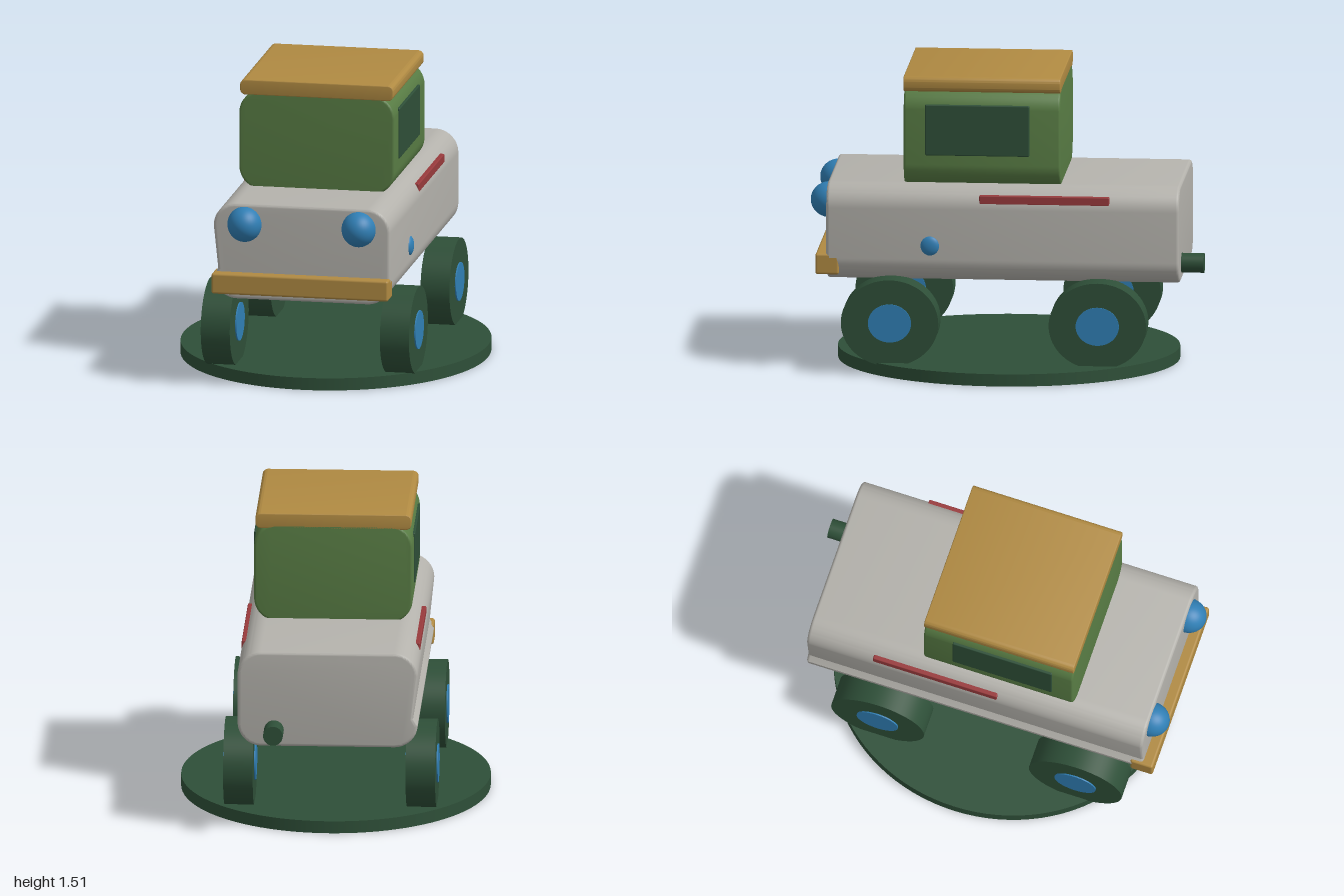
import * as THREE from 'three';
import { toCreasedNormals } from 'three/addons/utils/BufferGeometryUtils.js';
import { RoundedBoxGeometry } from 'three/addons/geometries/RoundedBoxGeometry.js';

const paint = (name, color) => {
  const m = new THREE.MeshStandardMaterial({ color });
  m.name = name;
  return m;
};

// Rounded rectangle in x/y; 'dent' adds a crease low on the -x side
function panelShape(w, y0, y1, r, dent = false) {
  const s = new THREE.Shape();
  s.moveTo(-w + r, y0);
  s.lineTo(w - r, y0);
  s.absarc(w - r, y0 + r, r, -Math.PI / 2, 0);
  s.lineTo(w, y1 - r);
  s.absarc(w - r, y1 - r, r, 0, Math.PI / 2);
  s.lineTo(-w + r, y1);
  s.absarc(-w + r, y1 - r, r, Math.PI / 2, Math.PI);
  if (dent) s.lineTo(-w + 0.023, y0 + 0.155);
  s.lineTo(-w, y0 + r);
  s.absarc(-w + r, y0 + r, r, Math.PI, Math.PI * 1.5);
  return s;
}

// Extrudes a shape between two z positions, keeping its outer size with a small bevel
function extrudeZ(shape, z0, z1, bevel) {
  const g = new THREE.ExtrudeGeometry(shape, {
    depth: z1 - z0 - 2 * bevel, curveSegments: 10, bevelEnabled: true,
    bevelSize: bevel, bevelThickness: bevel, bevelOffset: -bevel, bevelSegments: 4,
  });
  g.translate(0, 0, z0 + bevel);
  return toCreasedNormals(g, 0.45);
}

export function createModel() {
  const model = new THREE.Group();
  model.name = 'toyCar';

  const grey = paint('bodyGrey', 0xb4b2ac);
  const tan = paint('tan', 0xb08a42);
  const green = paint('cabinGreen', 0x587c44);
  const dark = paint('darkGreen', 0x2e4f38);
  const blue = paint('blue', 0x307fb5);
  const red = paint('red', 0x983a3c);

  const add = (name, geometry, material, x = 0, y = 0, z = 0) => {
    const mesh = new THREE.Mesh(geometry, material);
    mesh.name = name;
    mesh.position.set(x, y, z);
    model.add(mesh);
    return mesh;
  };

  // Oval display base
  const base = add('base', new THREE.CylinderGeometry(1, 1, 0.063, 96), dark, 0, 0.0315, 0.015);
  base.scale.set(0.785, 1, 0.868);

  // Body, cabin and roof
  add('body', extrudeZ(panelShape(0.457, 0.465, 0.963, 0.12, true), -0.885, 0.91, 0.016), grey);
  add('cabin', extrudeZ(panelShape(0.402, 0.945, 1.46, 0.12), -0.277, 0.52, 0.012), green);
  add('roof', extrudeZ(panelShape(0.396, 1.437, 1.515, 0.028), -0.277, 0.522, 0.005), tan);

  // Front bumper
  add('bumper', new RoundedBoxGeometry(0.914, 0.107, 0.12, 3, 0.012), tan, 0, 0.552, 0.905);

  // Exhaust pipe
  const pipe = add('exhaustPipe', new THREE.CylinderGeometry(0.05, 0.05, 0.16, 32), dark, 0.272, 0.553, -0.92);
  pipe.rotation.x = Math.PI / 2;

  // Fuel cap, on one side only
  const cap = add('fuelCap', new THREE.SphereGeometry(1, 32, 20), blue, 0.453, 0.655, 0.382);
  cap.scale.set(0.022, 0.05, 0.048);

  // Mirrored parts
  const tyre = new THREE.CylinderGeometry(1, 1, 0.15, 64).rotateZ(Math.PI / 2);
  const hub = new THREE.CylinderGeometry(1, 1, 0.164, 48).rotateZ(Math.PI / 2);
  const lamp = new THREE.SphereGeometry(1, 40, 28);
  const pane = new RoundedBoxGeometry(0.03, 0.262, 0.53, 2, 0.006);
  const trim = new RoundedBoxGeometry(0.028, 0.046, 0.662, 2, 0.006);

  for (const side of [-1, 1]) {
    const tag = side > 0 ? 'Left' : 'Right';
    add('headlight' + tag, lamp, blue, side * 0.295, 0.857, 0.905).scale.set(0.088, 0.091, 0.095);
    add('sideWindow' + tag, pane, dark, side * 0.394, 1.244, 0.145);
    add('sideStripe' + tag, trim, red, side * 0.439, 0.895, -0.2);
    for (const [end, z] of [['front', 0.58], ['rear', -0.477]]) {
      add(end + 'Tyre' + tag, tyre, dark, side * 0.463, 0.268, z).scale.set(1, 0.222, 0.248);
      add(end + 'Hub' + tag, hub, blue, side * 0.463, 0.268, z).scale.set(1, 0.098, 0.11);
    }
  }
  return model;
}
